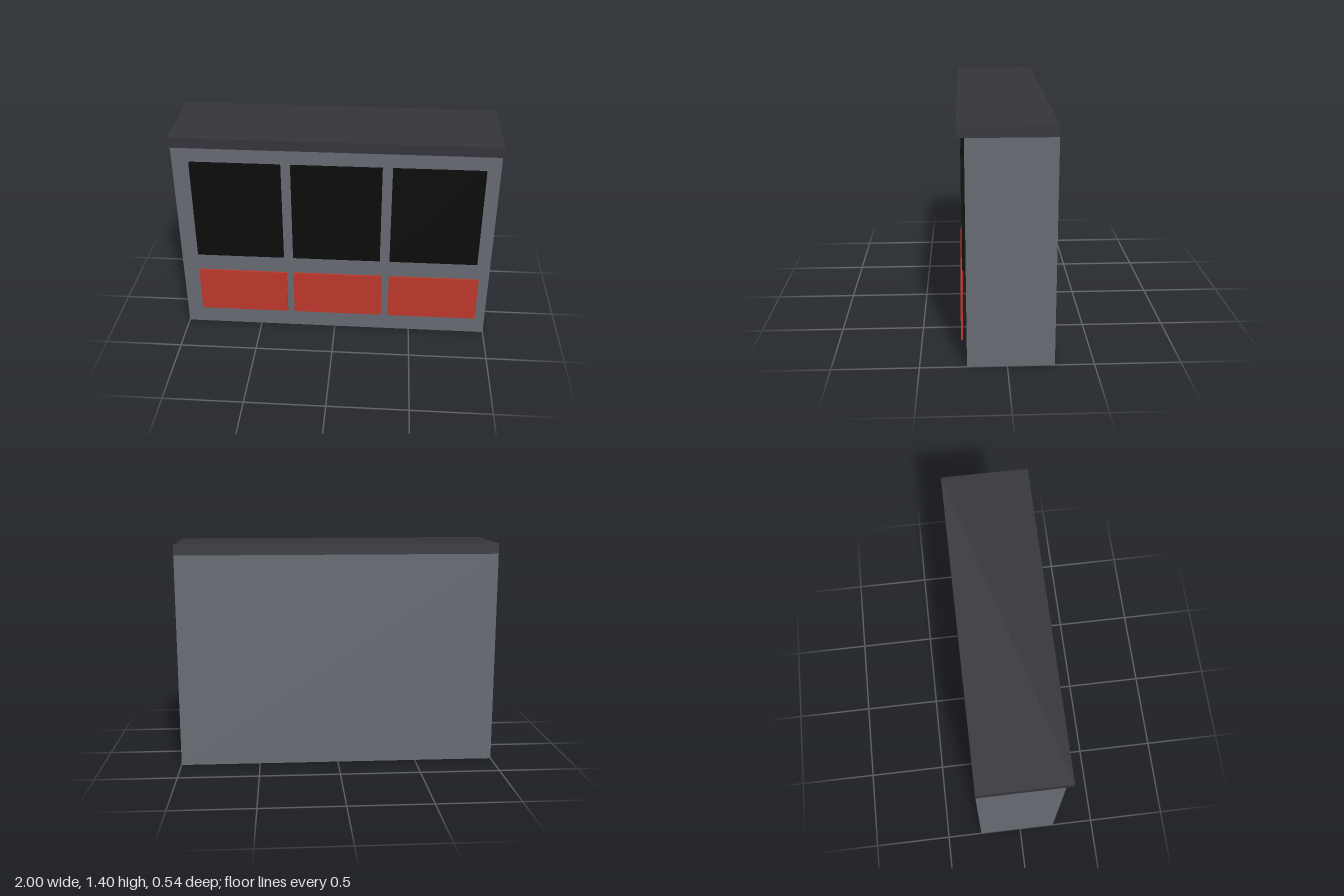
import * as THREE from 'three';

function material(name, color) {
  const m = new THREE.MeshStandardMaterial({ color });
  m.name = name;
  return m;
}

// Box given by its minimum and maximum corners
function box(name, mat, [x0, y0, z0], [x1, y1, z1]) {
  const mesh = new THREE.Mesh(new THREE.BoxGeometry(x1 - x0, y1 - y0, z1 - z0), mat);
  mesh.position.set((x0 + x1) / 2, (y0 + y1) / 2, (z0 + z1) / 2);
  mesh.name = name;
  return mesh;
}

export function createModel() {
  const group = new THREE.Group();
  group.name = 'cabinet';
  const grey = material('bodyGrey', 0x686b73);
  const dark = material('capDarkGrey', 0x36353c);
  const black = material('panelBlack', 0x0c0c0c);
  const red = material('panelRed', 0xc0392b);

  // Main body and the cap that overhangs the front
  group.add(box('body', grey, [-1, 0, -0.272], [1, 1.335, 0.23]));
  group.add(box('topCap', dark, [-1, 1.335, -0.272], [1, 1.4, 0.272]));

  // Three bays: a black panel above a slightly wider, raised red one
  for (let i = 0; i < 3; i++) {
    const x = -0.89 + i * 0.622;
    group.add(box(`upperPanel${i + 1}`, black, [x, 0.557, 0.228], [x + 0.56, 1.224, 0.251]));
    group.add(box(`lowerPanel${i + 1}`, red, [x, 0.136, 0.25], [x + 0.578, 0.445, 0.262]));
  }
  return group;
}
